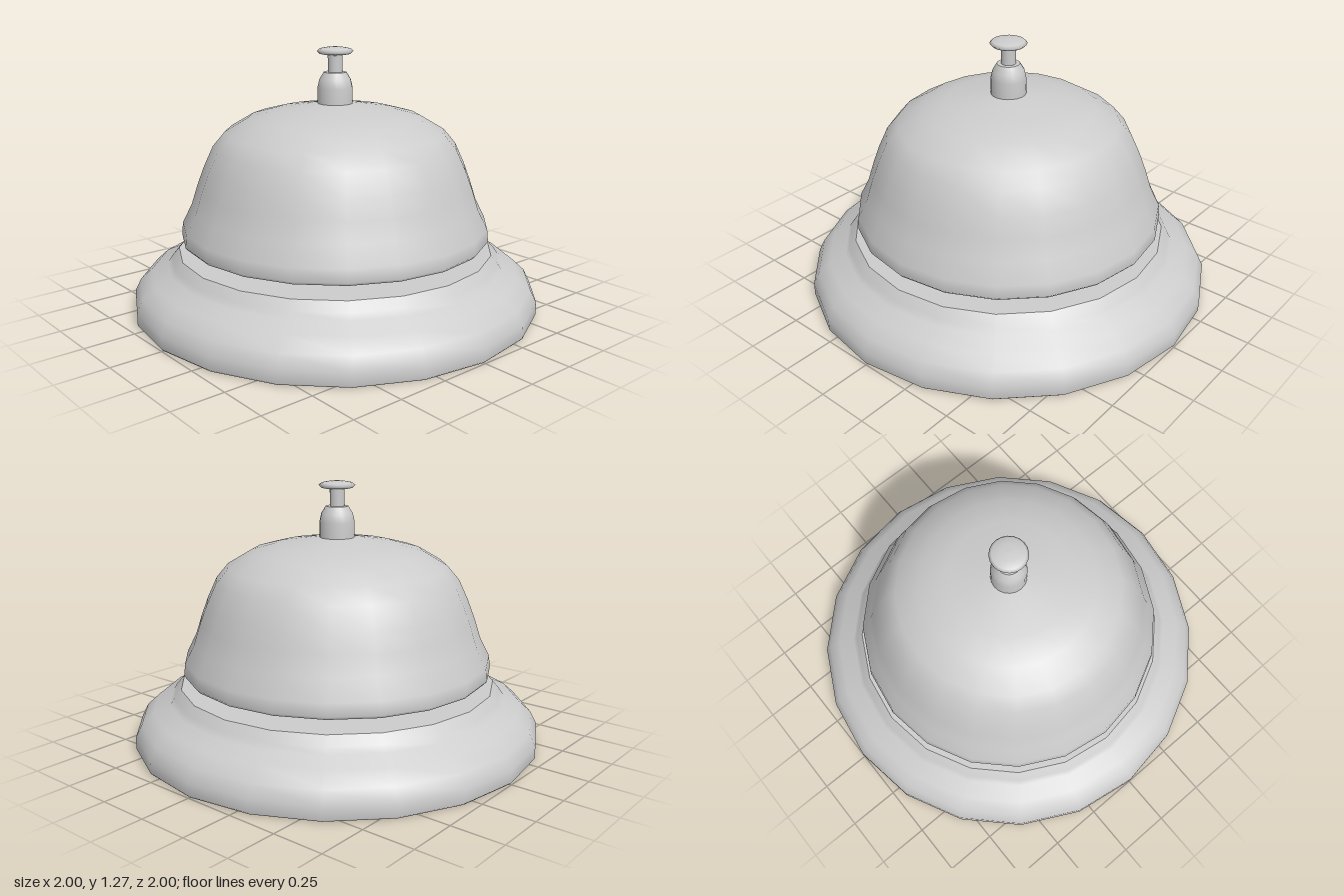
import * as THREE from 'three';

const material = new THREE.MeshStandardMaterial({ color: 0xcccccc, side: THREE.DoubleSide });

// One turned part; each profile is smooth, with sharp edges where profiles meet.
function turned(name, sides, ...profiles) {
  const part = new THREE.Group();
  part.name = name;
  profiles.forEach((profile, i) => {
    const points = profile.map(([r, y]) => new THREE.Vector2(r, y));
    const mesh = new THREE.Mesh(new THREE.LatheGeometry(points, sides), material);
    mesh.name = `${name}Surface${i + 1}`;
    part.add(mesh);
  });
  return part;
}

export function createModel() {
  const model = new THREE.Group();
  model.name = 'deskBell';

  // Stepped round base with flat top and underside
  model.add(turned('base', 20,
    [[0, 0], [0.99, 0]],
    [[0.99, 0], [1, 0.01], [1, 0.07], [0.97, 0.13], [0.91, 0.185], [0.83, 0.22], [0.81, 0.25], [0.775, 0.29]],
    [[0.775, 0.29], [0, 0.29]],
  ));

  // Hollow dome: outer skin, rim and inner skin
  const outer = [
    [0.745, 0.345], [0.758, 0.36], [0.752, 0.42], [0.706, 0.51], [0.674, 0.61], [0.64, 0.7],
    [0.594, 0.8], [0.535, 0.87], [0.417, 0.94], [0.294, 0.973], [0.086, 1.005], [0, 1.008],
  ];
  const inner = [
    [0, 0.985], [0.086, 0.98], [0.285, 0.95], [0.4, 0.92], [0.515, 0.853], [0.572, 0.79],
    [0.616, 0.695], [0.65, 0.605], [0.682, 0.505], [0.725, 0.42], [0.725, 0.345],
  ];
  model.add(turned('dome', 20, [[0.725, 0.345], [0.745, 0.345]], outer, inner));

  // Rod from the base through the dome up to the button
  model.add(turned('rod', 20, [[0.035, 0.28], [0.035, 1.245]]));

  // Rounded collar on top of the dome
  model.add(turned('collar', 20,
    [[0.085, 0.99], [0.085, 1.08], [0.076, 1.12], [0.055, 1.155]],
    [[0.055, 1.155], [0, 1.155]],
  ));

  // Push button
  model.add(turned('button', 20,
    [[0, 1.235], [0.04, 1.236], [0.076, 1.243], [0.088, 1.255], [0.076, 1.266], [0.04, 1.273], [0, 1.275]],
  ));

  return model;
}
